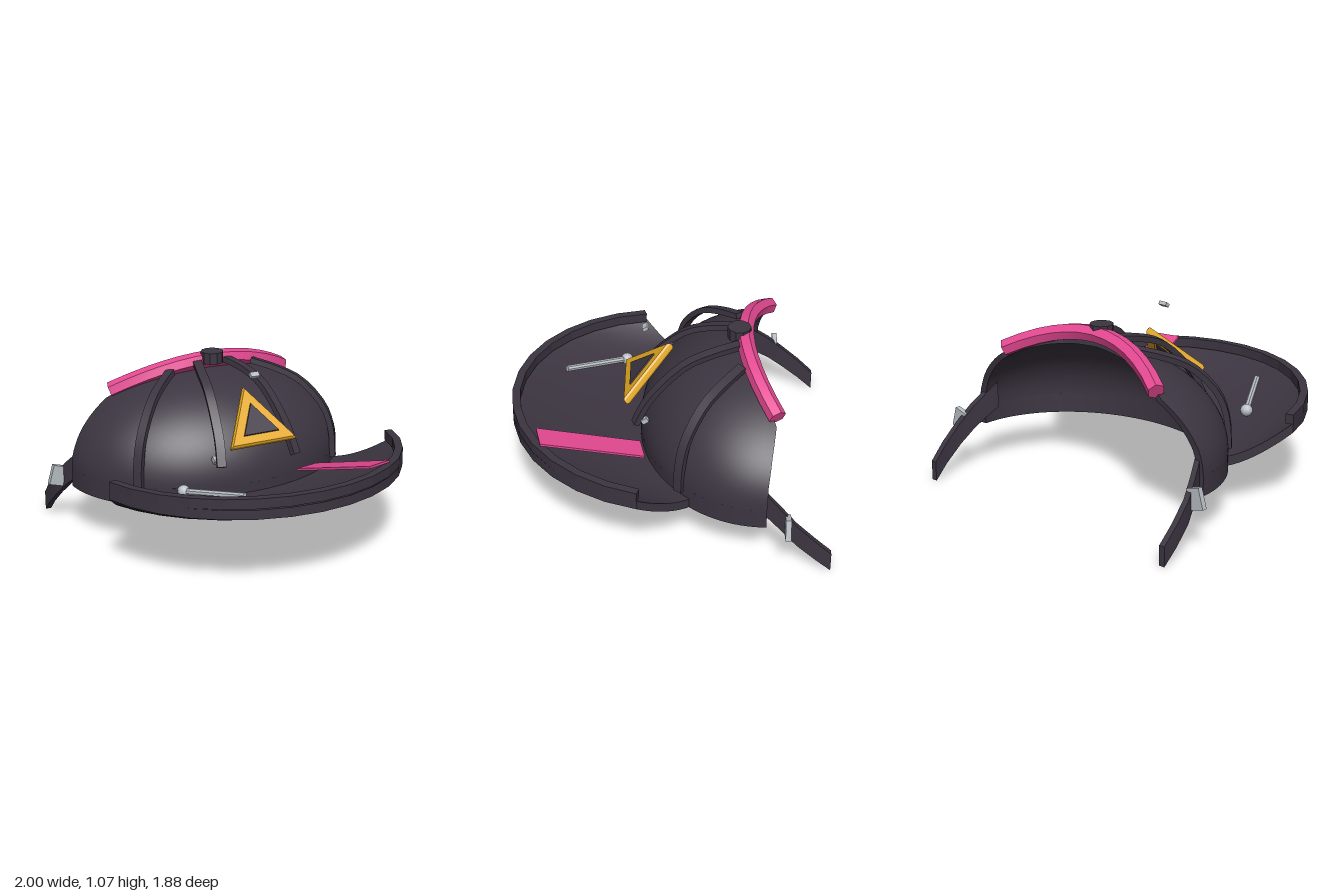
import * as THREE from 'three';
import { toCreasedNormals } from 'three/addons/utils/BufferGeometryUtils.js';

const V = (x, y, z) => new THREE.Vector3(x, y, z);
const { sin, cos, PI } = Math;
const rad = THREE.MathUtils.degToRad;
const range = (n, f) => Array.from({ length: n + 1 }, (_, i) => f(i / n));

const mat = (name, color) => Object.assign(new THREE.MeshStandardMaterial({ color }), { name });
const fabric = mat('dark fabric', 0x3c3541);
const pink = mat('pink', 0xe64993);
const gold = mat('gold', 0xe2a721);
const steel = mat('steel', 0xb8bec4);

// Closed solid through a row of even-sided sections; winding is made to face outwards
function loft(sections, crease = 0.5) {
  const n = sections[0].length, last = (sections.length - 1) * n, idx = [];
  const quad = (a, b, c, d) => idx.push(a, b, c, a, c, d);
  for (let r = 0; r < last; r += n) {
    for (let i = 0; i < n; i++) {
      const j = (i + 1) % n;
      quad(r + i, r + j, r + n + j, r + n + i);
    }
  }
  for (let i = 0; i < n / 2 - 1; i++) {
    quad(i, n - 1 - i, n - 2 - i, i + 1);
    quad(last + i, last + i + 1, last + n - 2 - i, last + n - 1 - i);
  }
  const pts = sections.flat();
  let volume = 0;
  for (let i = 0; i < idx.length; i += 3) {
    volume += pts[idx[i]].dot(V(0, 0, 0).crossVectors(pts[idx[i + 1]], pts[idx[i + 2]]));
  }
  if (volume < 0) idx.reverse();
  const geo = new THREE.BufferGeometry().setFromPoints(pts);
  geo.setIndex(idx);
  return toCreasedNormals(geo, crease);
}

// Sweep a flat outline of [side, up] pairs along points
function sweep(points, upAt, outline, crease) {
  return loft(points.map((p, i) => {
    const t = points[Math.min(i + 1, points.length - 1)].clone().sub(points[Math.max(i - 1, 0)]).normalize();
    const side = t.clone().cross(upAt(p)).normalize();
    const up = side.clone().cross(t);
    return outline.map(([a, b]) => p.clone().addScaledVector(side, a).addScaledVector(up, b));
  }), crease);
}
const rect = (w, h) => [[-w / 2, -h / 2], [w / 2, -h / 2], [w / 2, h / 2], [-w / 2, h / 2]];

// Crown ellipsoid, and how far its back edge lies in front of the centre at each angle
const C = V(0, 0.4, -0.57), RX = 0.89, RY = 0.56, RZ = 0.735, INNER = 0.95;
const crown = (a, b, k) =>
  V(k * RX * cos(a) * cos(b), C.y + k * RY * sin(a) * cos(b), C.z + k * RZ * sin(b));
const edge = [0, -0.005, -0.025, -0.05, 0.016, 0.088, 0.115];
function backAngle(a) {
  const t = Math.min(a, PI - a) / (PI / 2) * 6, i = Math.min(Math.floor(t), 5);
  return Math.asin(THREE.MathUtils.lerp(edge[i], edge[i + 1], t - i) / RZ);
}

export function createModel() {
  const model = new THREE.Group();
  model.name = 'cap';
  const add = (name, geo, material, parent = model) => {
    const m = new THREE.Mesh(geo, material);
    m.name = name;
    parent.add(m);
    return m;
  };

  // Open-backed crown with its upright lower wall
  add('crown', loft(range(48, (u) => {
    const a = u * PI, b0 = backAngle(a);
    const row = (k) => range(20, (v) => crown(a, b0 + (PI / 2 - b0) * v, k));
    return [...row(1), ...row(INNER).reverse()];
  }), 0.7), fabric);
  add('crownWall', loft(range(48, (u) => {
    const p = (k, y) => V(k * RX * cos(u * PI), y, C.z + k * RZ * sin(u * PI));
    return [p(1, 0.28), p(1, 0.4), p(INNER, 0.4), p(INNER, 0.28)];
  }), 0.7), fabric);

  // Dished brim, rising from the crown to the outer edge
  add('brim', loft(range(14, (u) => {
    const o = rad(12 + 156 * u), i = rad(36 + 108 * u);
    const inner = V(0.97 * RX * cos(i), 0.28, C.z + 0.97 * RZ * sin(i));
    const outer = V(0.977 * cos(o), 0.455 + 0.027 * sin(o), -0.042 + 0.977 * sin(o));
    const row = (lift) => range(8, (s) => {
      const p = inner.clone().lerp(outer, s);
      p.y = inner.y + (outer.y - inner.y) * s ** 1.6 + lift;
      return p;
    });
    return [...row(0), ...row(0.058).reverse()];
  })), fabric);

  // Raised trim above the brim edge
  add('brimTrim', sweep(range(14, (u) => {
    const o = rad(12 + 156 * u);
    return V(0.953 * cos(o), 0.53 + 0.046 * sin(o), -0.042 + 0.953 * sin(o));
  }), () => V(0, 1, 0), rect(0.048, 0.06), 0.15), fabric);

  // Padded band arching over the back edge of the crown
  const hex = range(5, (i) => [0.052 * cos(i * 5 * PI / 3), 0.052 * sin(i * 5 * PI / 3)]);
  add('backBand', sweep(range(12, (u) => {
    const s = 2 * u - 1;
    return V(0.595 * s, 1.002 - 0.165 * s * s, -0.455 - 0.17 * s * s);
  }), (p) => p.clone().sub(C), hex, 0.3), pink);

  // Ribs, straps, clips and studs on both sides
  const ribs = {
    frontRib: [[0.1, 0.995, -0.42], [0.145, 0.97, -0.27], [0.18, 0.915, -0.115], [0.21, 0.79, 0.03],
      [0.23, 0.67, 0.125], [0.25, 0.54, 0.19]],
    sideRib: [[0.28, 0.96, -0.43], [0.4, 0.92, -0.32], [0.51, 0.855, -0.215], [0.62, 0.7, -0.115],
      [0.66, 0.555, -0.08], [0.67, 0.37, -0.07]],
  };
  const strap = [[0.82, 0.46, -0.5], [0.845, 0.41, -0.57], [0.88, 0.34, -0.65], [0.91, 0.25, -0.74],
    [0.92, 0.15, -0.85], [0.915, 0.06, -0.945]];
  for (const s of [1, -1]) {
    const side = s > 0 ? 'left' : 'right';
    for (const [name, pts] of Object.entries(ribs)) {
      const curve = new THREE.CatmullRomCurve3(pts.map(([x, y, z]) => V(s * x, y, z)));
      add(`${name}_${side}`, sweep(curve.getPoints(14), (p) => p.clone().sub(C),
        rect(0.055, 0.035)), fabric);
    }
    add(`strap_${side}`, loft(strap.map(([x, y, z], i) => {
      const h = 0.08 - 0.004 * i;
      return [[-1, -1], [1, -1], [1, 1], [-1, 1]].map(([a, b]) => V(s * x + 0.018 * a, y + h * b, z));
    })), fabric);
    const clip = add(`strapClip_${side}`, new THREE.BoxGeometry(0.09, 0.125, 0.032), steel);
    clip.position.set(s * 0.94, 0.32, -0.69);
    clip.rotation.z = s * 0.28;
    const stud = add(`ribStud_${side}`, new THREE.BoxGeometry(0.03, 0.03, 0.04), steel);
    stud.position.set(s * 0.262, 0.57, 0.132);
    stud.rotation.x = 0.6;
  }

  // Button on top and the small loose stud
  add('topButton', toCreasedNormals(new THREE.CylinderGeometry(0.07, 0.07, 0.07, 10), 0.4), fabric)
    .position.set(0, 1.025, -0.42);
  const topStud = add('topStud', new THREE.BoxGeometry(0.055, 0.022, 0.034), steel);
  topStud.position.set(0, 1.055, 0.13);
  topStud.rotation.x = 0.6;

  // Tilted triangular badge: gold frame with a raised dark centre
  const badge = new THREE.Group();
  badge.name = 'badge';
  const tri = (r, Type) => new Type([[0, r], [-r * 0.866, -r / 2], [r * 0.866, -r / 2]]
    .map(([x, y]) => new THREE.Vector2(x, y)));
  const frame = tri(0.237, THREE.Shape);
  frame.holes.push(tri(0.136, THREE.Path));
  const frameGeo = new THREE.ExtrudeGeometry(frame, {
    depth: 0.025, bevelEnabled: true, bevelSize: 0.01, bevelThickness: 0.012, bevelSegments: 1,
  });
  add('badgeFrame', frameGeo.translate(0, 0, -0.0125), gold, badge);
  add('badgeCentre', new THREE.ExtrudeGeometry(tri(0.132, THREE.Shape), { depth: 0.045, bevelEnabled: false })
    .translate(0, 0, -0.012), fabric, badge);
  badge.position.set(0, 0.752, 0.155);
  badge.rotation.x = -PI / 4;
  model.add(badge);

  // Pink stripe sloping down from the trim to the crown
  add('brimStripe', loft([0.605, 0.415].map((y, i) => {
    const [a, b] = i ? [[0.28, 0.16], [0.43, 0.13]] : [[0.415, 0.76], [0.57, 0.725]];
    return [V(a[0], y, a[1]), V(b[0], y, b[1]), V(b[0], y + 0.015, b[1]), V(a[0], y + 0.015, a[1])];
  })), pink);

  // Loose pin lying over the brim
  const head = V(-0.535, 0.47, 0.265), tip = V(-0.33, 0.53, 0.63);
  const pin = add('pinShaft', toCreasedNormals(
    new THREE.CylinderGeometry(0.02, 0.02, head.distanceTo(tip), 8), 0.5), steel);
  pin.position.copy(head).lerp(tip, 0.5);
  pin.quaternion.setFromUnitVectors(V(0, 1, 0), tip.clone().sub(head).normalize());
  add('pinHead', new THREE.SphereGeometry(0.038, 10, 8), steel).position.copy(head);
  return model;
}
